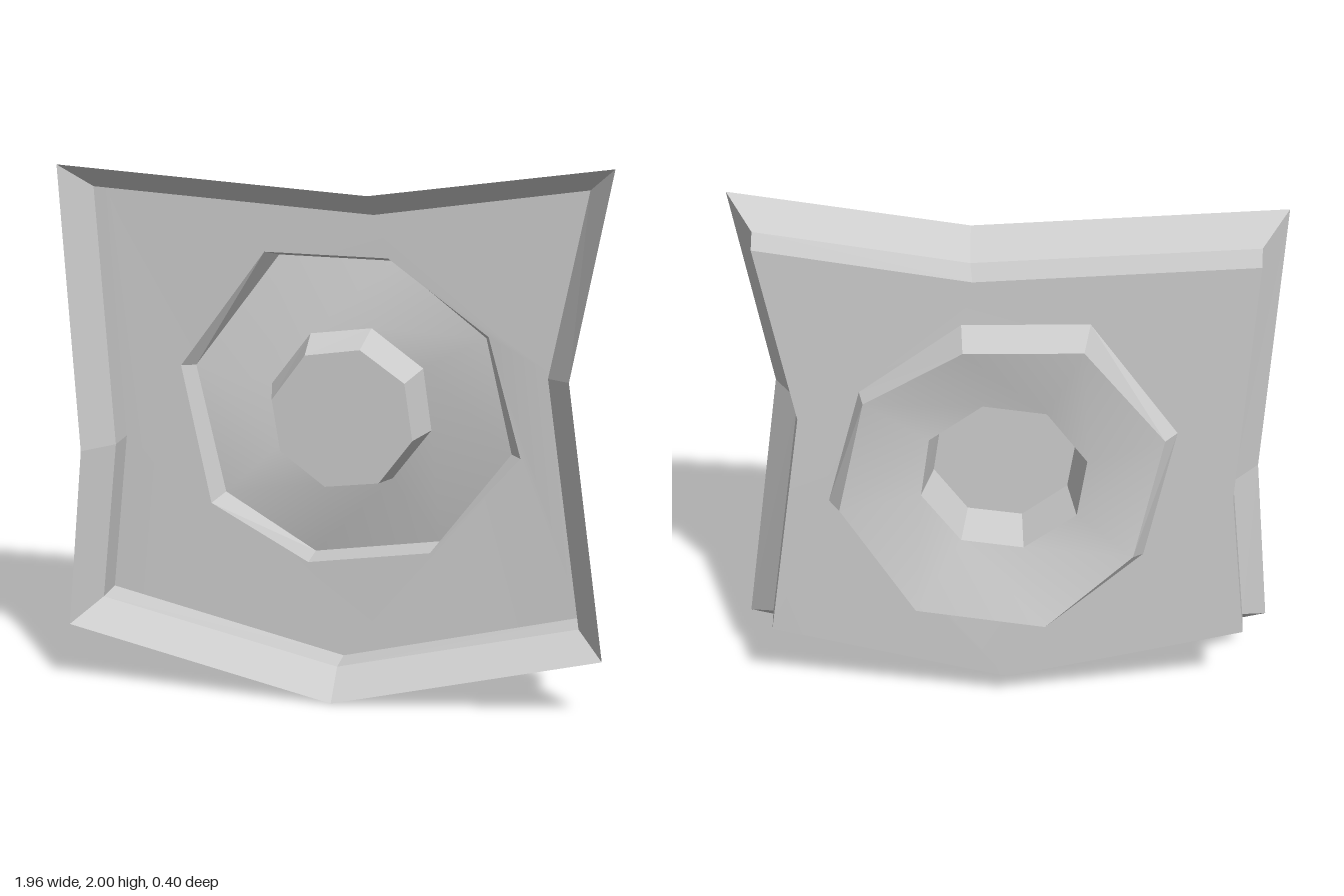
import * as THREE from 'three';

const grey = new THREE.MeshStandardMaterial({ color: 0xcccccc, side: THREE.DoubleSide });
grey.name = 'plain grey';

// Attach a depth (one value, or one per corner) to a list of x, y corners.
const ring = (pts, z) => pts.map(([x, y], i) => [x, y, Array.isArray(z) ? z[i] : z]);

// Band of quads joining two closed rings with equal corner counts.
function band(a, b, smooth = false) {
  const n = a.length, index = [];
  for (let i = 0; i < n; i++) {
    const j = (i + 1) % n;
    index.push(i, n + i, j, j, n + i, n + j);
  }
  let geo = new THREE.BufferGeometry();
  geo.setAttribute('position', new THREE.Float32BufferAttribute([...a, ...b].flat(), 3));
  geo.setIndex(index);
  if (!smooth) geo = geo.toNonIndexed();
  geo.computeVertexNormals();
  return geo;
}

// Flat sheet through a ring, optionally with a ring-shaped hole.
function sheet(outer, hole) {
  const path = (r) => r.map(([x, y]) => new THREE.Vector2(x, y));
  const shape = new THREE.Shape(path(outer));
  if (hole) shape.holes.push(new THREE.Path(path(hole)));
  const geo = new THREE.ShapeGeometry(shape);
  const p = geo.attributes.position, corners = [...outer, ...(hole || [])];
  for (let i = 0; i < p.count; i++) {
    const c = corners.find(([x, y]) => Math.hypot(x - p.getX(i), y - p.getY(i)) < 1e-4);
    p.setZ(i, c[2]);
  }
  geo.computeVertexNormals();
  return geo;
}

export function createModel() {
  const group = new THREE.Group();
  group.name = 'shieldPanel';
  const add = (name, geo) => {
    const mesh = new THREE.Mesh(geo, grey);
    mesh.name = name;
    group.add(mesh);
  };

  // Kite-like outline: flared lip, bend and back edge, clockwise from top left
  const lip = ring([[-0.98, 1.945], [0.13, 1.875], [0.98, 2], [0.84, 1.25],
    [0.98, 0.235], [0, 0], [-0.98, 0.235], [-0.92, 0.9]], 0.2);
  const bend = ring([[-0.882, 1.85], [0.13, 1.787], [0.885, 1.903], [0.753, 1.23],
    [0.882, 0.31], [0, 0.1], [-0.882, 0.31], [-0.822, 0.9]], 0.085);
  const back = ring([[-0.873, 1.838], [0.12, 1.775], [0.877, 1.893], [0.745, 1.22],
    [0.875, 0.312], [0, 0.1], [-0.875, 0.312], [-0.815, 0.9]], -0.035);

  // Uneven octagonal recess pushed out of the back
  const recess = ring([[-0.29, 1.613], [0.16, 1.608], [0.523, 1.338], [0.643, 0.892],
    [0.32, 0.52], [-0.133, 0.455], [-0.497, 0.66], [-0.605, 1.177]],
  [-0.035, -0.035, -0.04, -0.052, -0.035, -0.035, -0.035, -0.038]);
  const rim = ring([[-0.267, 1.575], [0.152, 1.57], [0.507, 1.32], [0.602, 0.888],
    [0.33, 0.513], [-0.14, 0.445], [-0.457, 0.687], [-0.56, 1.17]],
  [-0.173, -0.173, -0.095, -0.115, -0.2, -0.2, -0.1, -0.085]);

  // Central boss rising forward
  const bossBase = ring([[-0.14, 1.3], [0.085, 1.33], [0.275, 1.19], [0.307, 0.96],
    [0.165, 0.77], [-0.06, 0.74], [-0.25, 0.88], [-0.285, 1.105]], -0.12);
  const bossTop = ring([[-0.125, 1.26], [0.075, 1.29], [0.237, 1.175], [0.267, 0.965],
    [0.145, 0.8], [-0.053, 0.775], [-0.217, 0.9], [-0.247, 1.09]], 0.05);

  add('flaredLip', band(lip, bend));
  add('sideWall', band(bend, back));
  add('backPlate', sheet(back, recess));
  add('recessWall', band(recess, rim));
  add('recessFloor', band(rim, bossBase, true));
  add('bossWall', band(bossBase, bossTop));
  add('bossCap', sheet(bossTop));
  return group;
}
